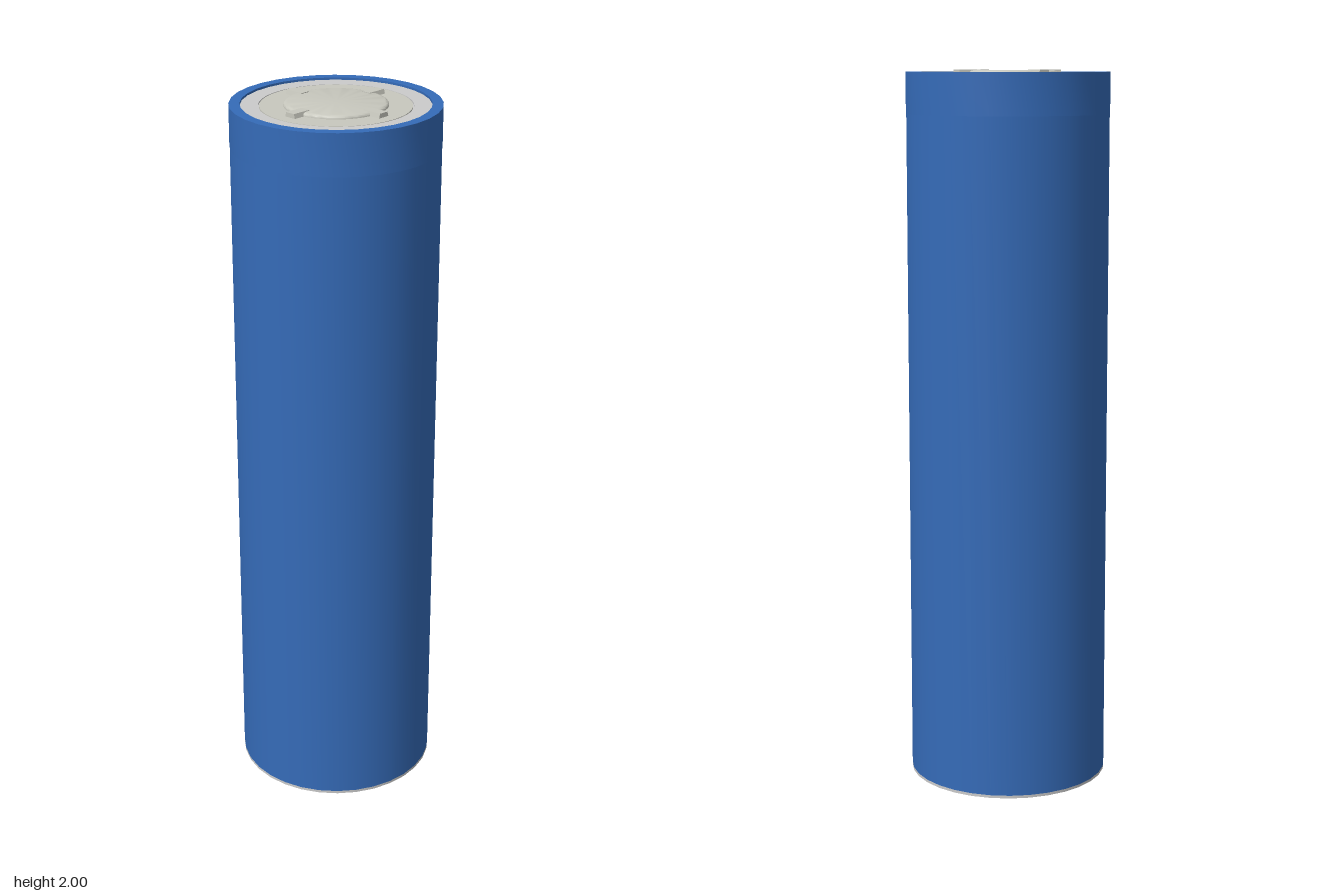
import * as THREE from 'three';
import { toCreasedNormals } from 'three/addons/utils/BufferGeometryUtils.js';

const paint = (color) => new THREE.MeshStandardMaterial({ color });
const blue = paint(0x356bb8);
const steel = paint(0xcccccc);
const nickel = paint(0xc8c8be);

// Turned part from [radius, y] pairs, listed bottom to top along the outside
function turned(name, profile, sides, material) {
  const points = profile.map(([r, y]) => new THREE.Vector2(r, y));
  const geometry = toCreasedNormals(new THREE.LatheGeometry(points, sides), 0.6);
  const mesh = new THREE.Mesh(geometry, material);
  mesh.name = name;
  return mesh;
}

export function createModel() {
  const group = new THREE.Group();
  group.name = 'batteryCell';

  // Steel base, blue sleeve and the collar folded over the top edge
  group.add(
    turned('base', [[0, 0], [0.28, 0], [0.28, 0.008]], 32, steel),
    turned('sleeve', [[0.28, 0.008], [0.28, 1.88]], 32, blue),
    turned('collar', [[0.28, 1.88], [0.281, 1.88], [0.281, 1.994], [0.252, 1.994], [0.252, 1.985]], 32, blue),
  );

  // Grey gasket, terminal plate with a fine edge, and rounded contact button
  group.add(
    turned('gasket', [[0.252, 1.988], [0.204, 1.988], [0.204, 1.984], [0.2, 1.984]], 64, steel),
    turned('terminalPlate', [[0.201, 1.984], [0.201, 1.988], [0, 1.988]], 64, nickel),
    turned('contactButton', [[0.138, 1.987], [0.138, 1.992], [0.136, 1.995], [0.132, 1.997], [0.126, 1.998], [0, 1.998]], 64, nickel),
  );

  // Four tapered tabs bridging the button edge, on the diagonals
  const section = new THREE.Shape([
    new THREE.Vector2(-0.018, 0), new THREE.Vector2(0.018, 0),
    new THREE.Vector2(0.014, 0.014), new THREE.Vector2(-0.014, 0.014),
  ]);
  const tabGeometry = new THREE.ExtrudeGeometry(section, { depth: 0.056, bevelEnabled: false });
  tabGeometry.translate(0, 1.986, 0.113);
  for (let i = 0; i < 4; i++) {
    const tab = new THREE.Mesh(tabGeometry, nickel);
    tab.name = 'tab' + (i + 1);
    tab.rotation.y = Math.PI / 4 + (i * Math.PI) / 2;
    group.add(tab);
  }
  return group;
}
